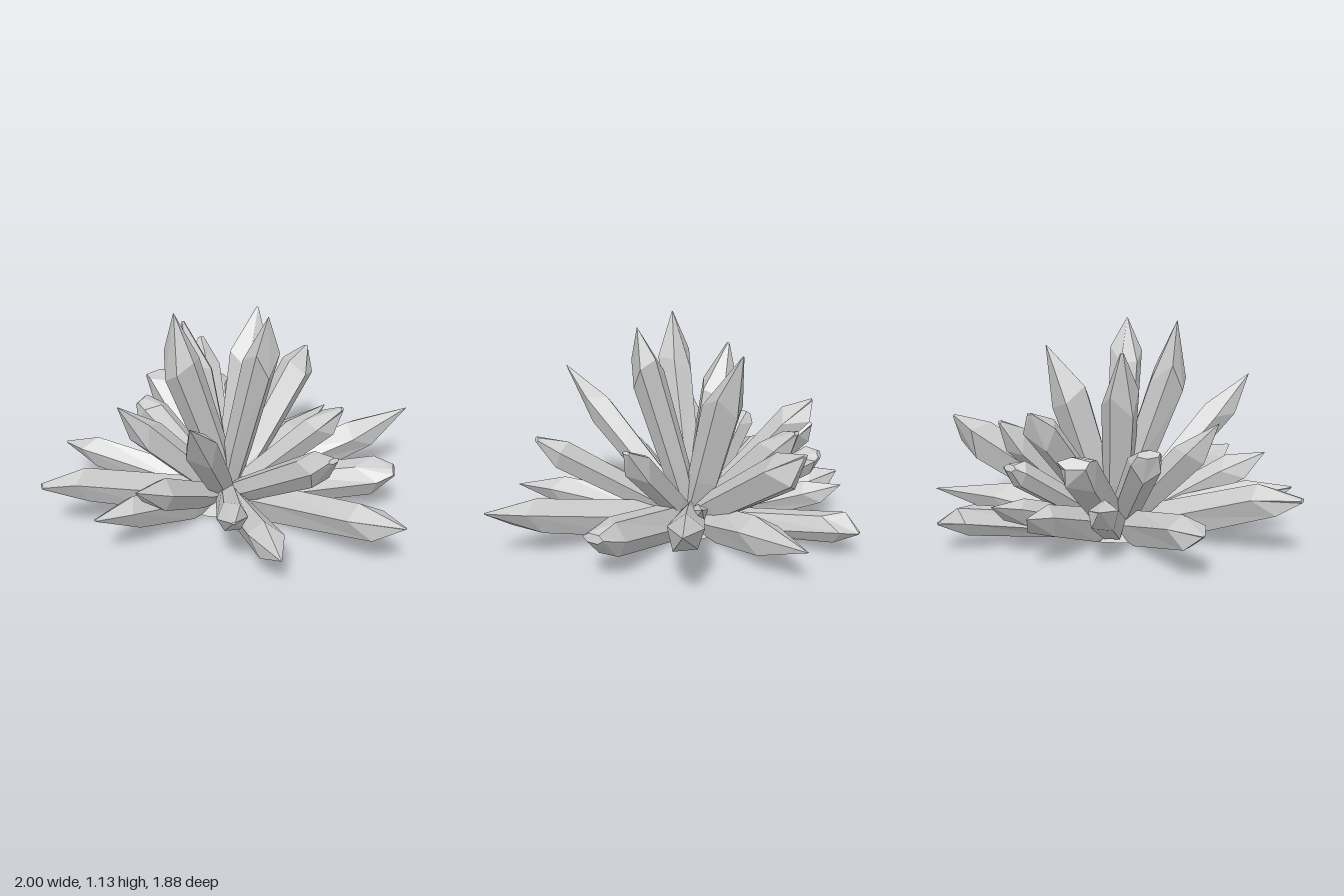
import * as THREE from 'three';

const ORIGIN = new THREE.Vector3(-0.05, 0, 0);
const UP = new THREE.Vector3(0, 1, 0);

// One faceted shard: rings swept from the root to the tip, cut flat at the ground.
// r: shoulder radius, shoulder: where the point starts (0..1), blunt: width of the chisel end
// relative to r, lean: shifts the shoulder off-axis, root/keel: root width and depth relative to r.
function crystalGeometry([tip, r, shoulder, blunt, sides, roll, lean], root, keel) {
  const axis = new THREE.Vector3(...tip).sub(ORIGIN);
  const d = axis.clone().normalize();
  const u = UP.clone().cross(d).normalize();
  const v = d.clone().cross(u);
  // [position, width, depth] of each ring
  const rings = [
    [0, root, keel], [0.3, Math.max(root, 0.87), Math.max(keel, 0.85)],
    [shoulder, 1, 1], [1, blunt, blunt * 0.4],
  ];
  const pos = [], index = [];
  rings.forEach(([t, w, h], k) => {
    for (let i = 0; i < sides; i++) {
      const a = roll + (i / sides) * Math.PI * 2;
      // facets end at uneven heights along the shoulder
      const jag = k === 2 ? 0.06 * Math.sin(i * 2.4 + roll * 3) : 0;
      const p = ORIGIN.clone().addScaledVector(axis, t + jag)
        .addScaledVector(u, Math.cos(a) * r * w)
        .addScaledVector(v, Math.sin(a) * r * h + (k === 2 ? lean * r : 0));
      pos.push(p.x, Math.max(0, p.y), p.z);
    }
  });
  for (let k = 0; k < rings.length - 1; k++) {
    for (let i = 0; i < sides; i++) {
      const j = (i + 1) % sides, a = k * sides, b = a + sides;
      index.push(a + i, a + j, b + j, a + i, b + j, b + i);
    }
  }
  // root and end caps
  const last = (rings.length - 1) * sides;
  for (let i = 1; i < sides - 1; i++) {
    index.push(0, i + 1, i, last, last + i, last + i + 1);
  }
  const g = new THREE.BufferGeometry();
  g.setAttribute('position', new THREE.Float32BufferAttribute(pos, 3));
  g.setIndex(index);
  const flat = g.toNonIndexed();
  flat.computeVertexNormals();
  return flat;
}

// Rolls that lay a flat facet underneath
const FLAT5 = Math.PI / 10, FLAT6 = 0;

// [tip, radius, shoulder, blunt, sides, roll, lean]
const TALL = [
  [[-0.31, 1.13, 0.18], 0.1, 0.76, 0.03, 6, 0.2, -0.4],
  [[0.15, 1.12, 0.23], 0.09, 0.8, 0.03, 6, 0.4, -0.15],
  [[-0.27, 0.98, -0.15], 0.1, 0.74, 0.1, 5, 0.3, 0.1],
  [[0.14, 1.0, -0.32], 0.11, 0.73, 0.06, 5, 0.9, 0.2],
];
const SLANTED = [
  [[-0.24, 0.8, 0.8], 0.085, 0.74, 0.03, 5, 0.3, 0],
  [[-0.61, 0.64, 0.19], 0.09, 0.75, 0.04, 5, 0.6, -0.1],
  [[-0.5, 0.41, 0.66], 0.085, 0.76, 0.05, 5, 0.1, 0],
  [[0.42, 0.57, 0.69], 0.085, 0.85, 0.4, 6, 0.2, -0.1],
  [[0.55, 0.59, 0.16], 0.08, 0.82, 0.3, 5, 0.5, 0],
  [[0.47, 0.63, -0.69], 0.105, 0.84, 0.15, 5, 0.3, -0.2],
  [[0.15, 0.63, -0.6], 0.09, 0.84, 0.3, 5, 0.7, 0],
  [[-0.17, 0.72, -0.63], 0.085, 0.85, 0.2, 5, 0.2, 0],
  [[-0.44, 0.52, -0.57], 0.1, 0.88, 0.85, 5, 0.5, 0],
  [[-0.51, 0.52, -0.18], 0.09, 0.88, 0.7, 6, 0.3, 0],
  [[-0.08, 0.45, -0.69], 0.07, 0.92, 0.7, 6, 0.1, 0],
];
const LOW = [
  [[-0.99, 0.3, 0.38], 0.09, 0.82, 0.3, 5, FLAT5, 0.3],
  [[-0.95, 0.24, -0.24], 0.085, 0.83, 0.1, 5, FLAT5, 0.1],
  [[-0.7, 0.26, 0.65], 0.085, 0.78, 0.12, 5, FLAT5, 0.1],
  [[-0.05, 0.35, 0.85], 0.075, 0.82, 0.15, 6, FLAT6, 0],
  [[0.16, 0.2, 0.94], 0.085, 0.76, 0.04, 5, FLAT5, 0.2],
  [[0.75, 0.28, 0.83], 0.09, 0.8, 0.08, 5, FLAT5, 0],
  [[0.83, 0.26, 0.23], 0.1, 0.86, 0.6, 6, FLAT6, -0.1],
  [[1.0, 0.4, -0.25], 0.095, 0.7, 0.02, 5, FLAT5, -0.1],
  [[0.4, 0.27, -0.18], 0.05, 0.7, 0.04, 5, FLAT5, 0],
  [[0.61, 0.21, -0.74], 0.1, 0.62, 0.02, 5, FLAT5, 0.2],
  [[0.2, 0.15, -0.94], 0.08, 0.88, 0.2, 6, FLAT6, 0.3],
  [[-0.1, 0.28, -0.81], 0.07, 0.8, 0.03, 5, FLAT5, 0],
  [[-0.34, 0.27, -0.76], 0.08, 0.84, 0.1, 5, FLAT5, 0],
  [[-0.54, 0.3, -0.5], 0.08, 0.82, 0.1, 5, FLAT5, 0],
];

export function createModel() {
  const model = new THREE.Group();
  model.name = 'crystalCluster';
  const material = new THREE.MeshStandardMaterial({ color: 0xcccccc, flatShading: true });

  // [name, crystals, root width, root depth]
  const sets = [
    ['tallCrystals', TALL, 0.6, 0.6],
    ['slantedCrystals', SLANTED, 0.6, 0.8],
    ['lowCrystals', LOW, 0.75, 1.2],
  ];
  for (const [name, list, root, keel] of sets) {
    const group = new THREE.Group();
    group.name = name;
    list.forEach((spec) => {
      const crystal = new THREE.Mesh(crystalGeometry(spec, root, keel), material);
      crystal.name = 'crystal';
      group.add(crystal);
    });
    model.add(group);
  }

  // low core closing the gaps between the roots
  const core = new THREE.Mesh(new THREE.ConeGeometry(0.25, 0.12, 12), material);
  core.name = 'rootCore';
  core.position.set(ORIGIN.x, 0.06, 0);
  model.add(core);
  return model;
}
